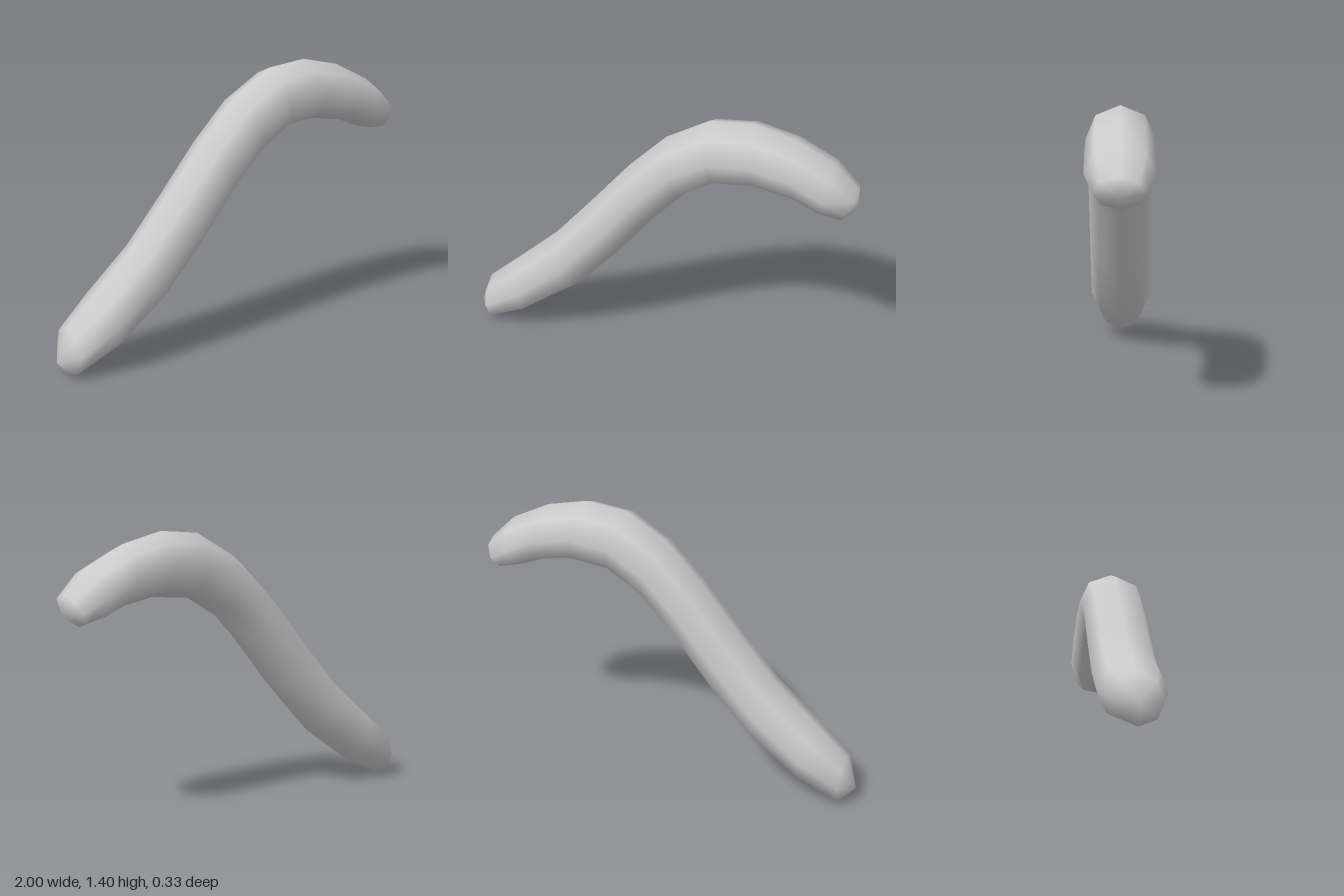
import * as THREE from 'three';

// Cross-sections along the body: [upper x, upper y, lower x, lower y, half depth in z]
const SECTIONS = [
  [-0.94, 0.25, -0.93, 0.0, 0.12],
  [-0.77, 0.40, -0.71, 0.105, 0.163],
  [-0.55, 0.60, -0.44, 0.30, 0.163],
  [-0.36, 0.82, -0.22, 0.54, 0.163],
  [-0.15, 1.07, -0.02, 0.79, 0.163],
  [0.04, 1.26, 0.14, 0.96, 0.163],
  [0.25, 1.38, 0.31, 1.065, 0.163],
  [0.46, 1.40, 0.51, 1.085, 0.163],
  [0.67, 1.35, 0.70, 1.05, 0.163],
  [0.87, 1.25, 0.82, 1.0, 0.163],
  [0.995, 1.13, 0.915, 0.977, 0.12],
];
const START_TIP = [-1, 0.08, 0];
const END_TIP = [1, 1.035, 0];
const SIDES = 8;

// Eight-sided tube through the sections, closed by a blunt point at each end
function bentTube() {
  const positions = [];
  const index = [];
  for (const [ux, uy, lx, ly, depth] of SECTIONS) {
    for (let j = 0; j < SIDES; j++) {
      const a = (j / SIDES) * Math.PI * 2;
      const c = Math.cos(a) / 2;
      positions.push((ux + lx) / 2 + (ux - lx) * c, (uy + ly) / 2 + (uy - ly) * c, Math.sin(a) * depth);
    }
  }
  const start = SECTIONS.length * SIDES;
  const end = start + 1;
  positions.push(...START_TIP, ...END_TIP);

  const last = (SECTIONS.length - 1) * SIDES;
  for (let j = 0; j < SIDES; j++) {
    const k = (j + 1) % SIDES;
    for (let i = 0; i < last; i += SIDES) {
      index.push(i + j, i + k, i + SIDES + j, i + k, i + SIDES + k, i + SIDES + j);
    }
    index.push(start, k, j, end, last + j, last + k);
  }

  const geometry = new THREE.BufferGeometry();
  geometry.setAttribute('position', new THREE.Float32BufferAttribute(positions, 3));
  geometry.setIndex(index);
  geometry.computeVertexNormals();
  return geometry;
}

export function createModel() {
  const group = new THREE.Group();
  group.name = 'bentTube';
  const body = new THREE.Mesh(bentTube(), new THREE.MeshStandardMaterial({ color: 0xcccccc }));
  body.name = 'body';
  group.add(body);
  return group;
}
